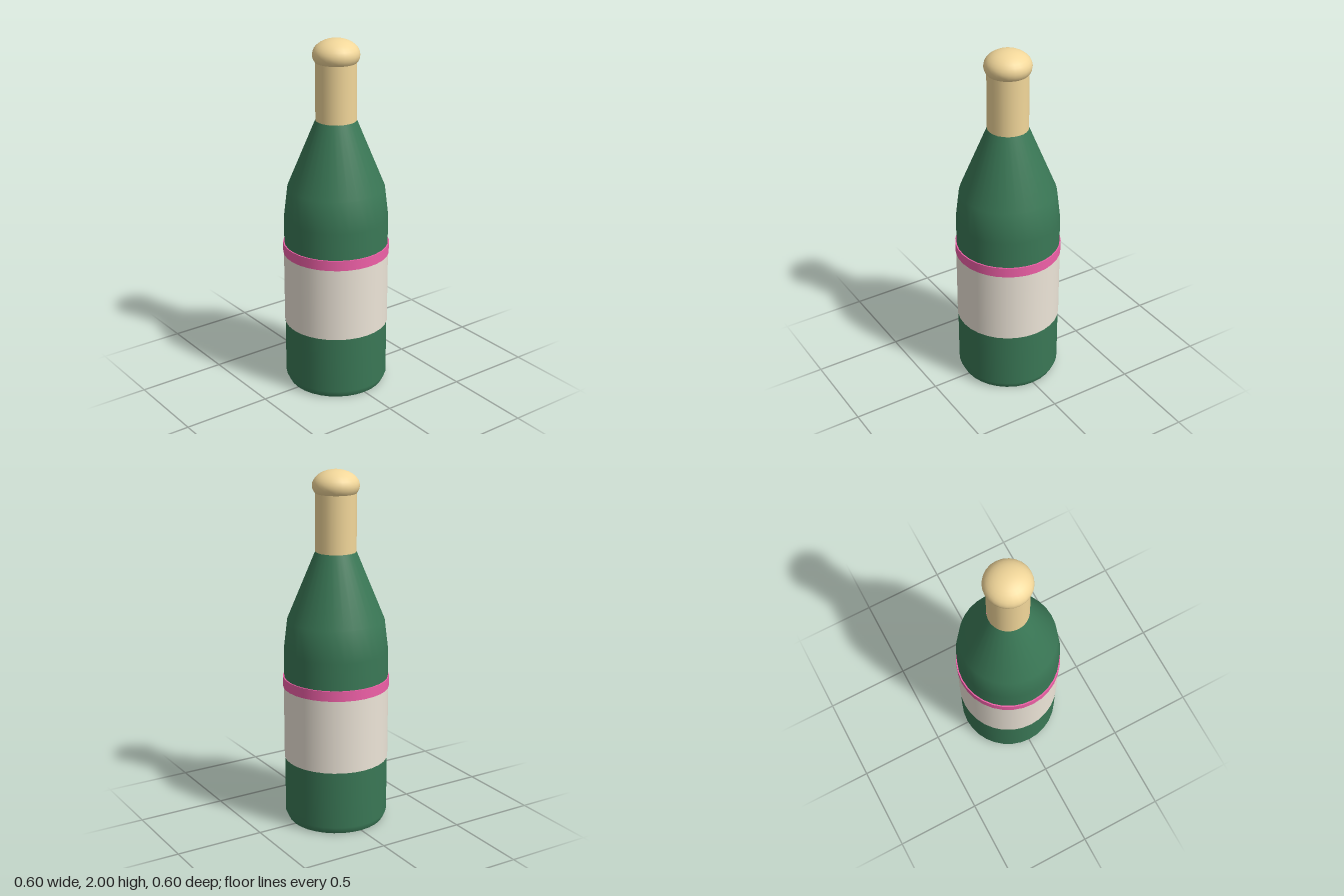
import * as THREE from 'three';

const SIDES = 32;

export function createModel() {
  const bottle = new THREE.Group();
  bottle.name = 'bottle';

  const glass = new THREE.MeshStandardMaterial({ color: 0x3a7856 });
  const foil = new THREE.MeshStandardMaterial({ color: 0xf2d79a });
  const paper = new THREE.MeshStandardMaterial({ color: 0xede5d8 });
  const pink = new THREE.MeshStandardMaterial({ color: 0xf060a8 });

  const add = (name, geometry, material, y = 0) => {
    const mesh = new THREE.Mesh(geometry, material);
    mesh.name = name;
    mesh.position.y = y;
    bottle.add(mesh);
    return mesh;
  };

  // Upright cylinder between two heights
  const addBand = (name, radius, y0, y1, material, sides = SIDES) =>
    add(name, new THREE.CylinderGeometry(radius, radius, y1 - y0, sides), material, (y0 + y1) / 2);

  // Glass body: bevelled foot, straight wall, tapering shoulder
  const profile = [
    [0.272, 0], [0.291, 0.04], [0.291, 1.0], [0.27, 1.175], [0.113, 1.555],
  ].map(([r, y]) => new THREE.Vector2(r, y));
  add('body', new THREE.LatheGeometry(profile, SIDES), glass);

  // Flat underside
  add('base', new THREE.CircleGeometry(0.272, SIDES).rotateX(Math.PI / 2), glass);

  // Paper label with a raised stripe along its top
  addBand('label', 0.294, 0.37, 0.79, paper);
  addBand('labelStripe', 0.298, 0.79, 0.848, pink);

  // Foil-wrapped neck and flattened round cork
  addBand('neckFoil', 0.113, 1.553, 1.91, foil, 24);
  add('cork', new THREE.SphereGeometry(0.129, 24, 16), foil, 1.914).scale.y = 0.086 / 0.129;

  return bottle;
}
